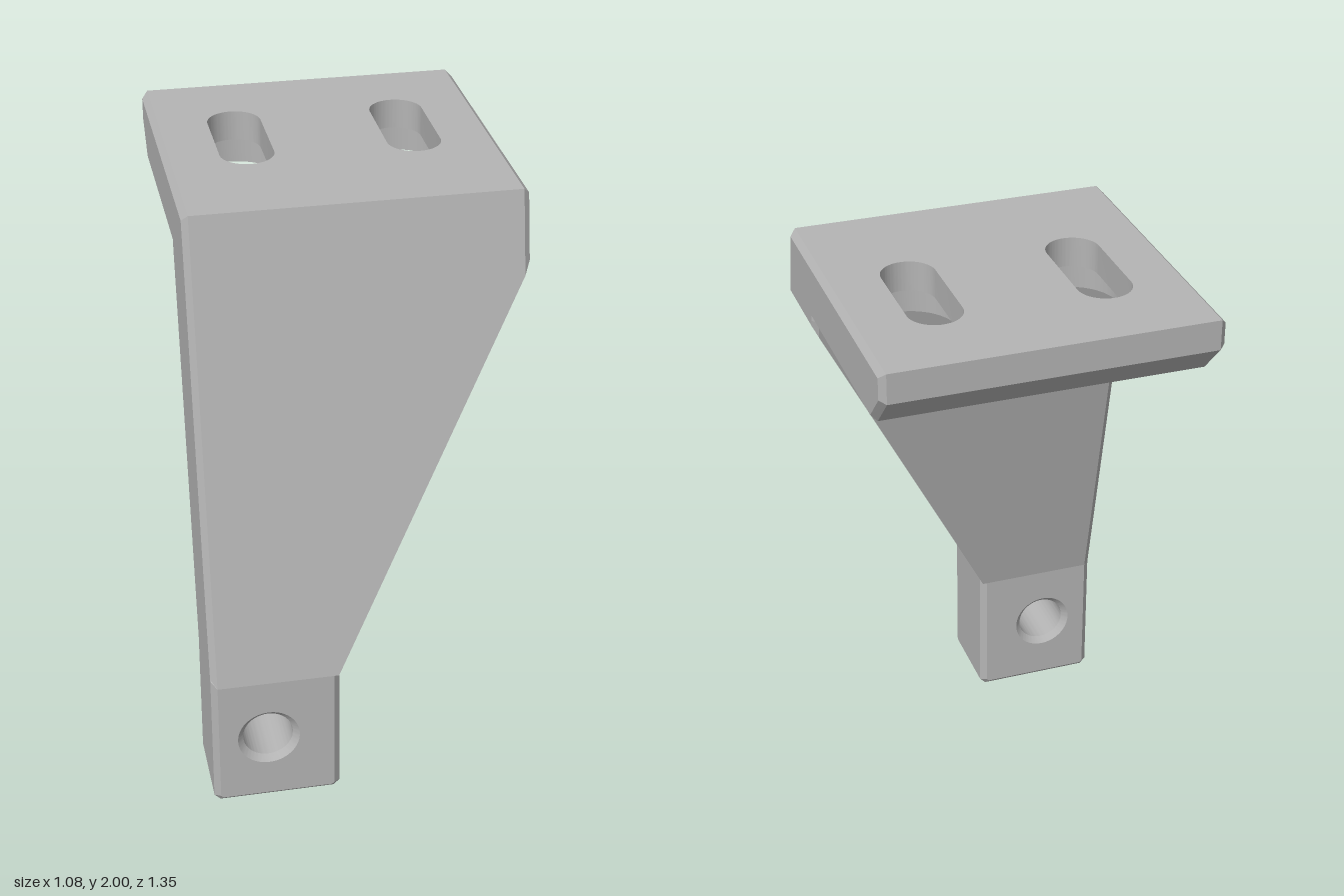
import * as THREE from 'three';
import { toCreasedNormals } from 'three/addons/utils/BufferGeometryUtils.js';
import { ConvexGeometry } from 'three/addons/geometries/ConvexGeometry.js';

const C = 0.02; // edge chamfer
const W = 0.54; // half width

export function createModel() {
  const group = new THREE.Group();
  const metal = new THREE.MeshStandardMaterial({ color: 0xb4b4b4 });
  metal.name = 'grey metal';

  const add = (name, geometry) => {
    const mesh = new THREE.Mesh(geometry, metal);
    mesh.name = name;
    group.add(mesh);
  };
  const hull = (pts) => new ConvexGeometry(pts.map((p) => new THREE.Vector3(...p)));
  const smooth = (geometry) => toCreasedNormals(geometry, 0.5);

  // Foot: chamfered block with a chamfered bolt hole running front to back
  const l = -W, r = -0.115, top = 0.49;
  const footShape = new THREE.Shape([
    [l + C, 0], [r - C, 0], [r, C], [r, top], [l, top], [l, C],
  ].map((p) => new THREE.Vector2(...p)));
  footShape.holes.push(new THREE.Path().absarc(-0.355, 0.25, 0.083, 0, Math.PI * 2, true));
  const foot = new THREE.ExtrudeGeometry(footShape, {
    depth: 0.315 - 2 * C, bevelThickness: C, bevelSize: C, bevelOffset: -C,
    bevelSegments: 1, curveSegments: 40,
  });
  foot.translate(0, 0, 0.36 + C);
  add('foot', smooth(foot));

  // Leg: leans back while widening to the full plate width
  const zFront = (y) => 0.675 - (y - 0.47) * 0.206;
  const zBack = (y) => Math.max(0.09, 0.36 - (y - 0.47) * 0.2045);
  const legPoints = [];
  const section = (y, left, right, chamferRight) => {
    const f = zFront(y), b = zBack(y);
    legPoints.push([-W + C, y, f], [-W + C, y, b]);
    if (left < -W + C) legPoints.push([left, y, f - C], [left, y, b + C]);
    if (chamferRight) legPoints.push([right - C, y, f], [right - C, y, b], [right, y, f - C], [right, y, b + C]);
    else legPoints.push([right, y, f], [right, y, b]);
  };
  section(0.47, -W, -0.12, false);
  section(1.73, -W, W - C, false);
  section(1.77, -W, W, true);
  section(1.79, -W, W, true);
  section(2 - C, -W, W, true);
  section(2, -W + C, W - C, false);
  add('leg', hull(legPoints));

  // Mounting plate: two layers, narrow slots above wider recesses
  const layer = (name, y0, y1, zEnd, radius) => {
    const w = W - C;
    const shape = new THREE.Shape([
      [-w, -0.09], [w, -0.09], [w, -zEnd], [-w, -zEnd],
    ].map((p) => new THREE.Vector2(...p)));
    for (const x of [-0.272, 0.272]) {
      const slot = new THREE.Path();
      slot.absarc(x, 0.347, radius, 0, Math.PI, false);
      slot.absarc(x, 0.078, radius, Math.PI, Math.PI * 2, false);
      slot.closePath();
      shape.holes.push(slot);
    }
    const geometry = new THREE.ExtrudeGeometry(shape, { depth: y1 - y0, bevelEnabled: false, curveSegments: 24 });
    geometry.rotateX(-Math.PI / 2).translate(0, y0, 0);
    add(name, smooth(geometry));
  };
  layer('plateTop', 1.9, 2, -0.675, 0.088);
  layer('plateBottom', 1.79, 1.9, -0.57, 0.16);

  // Sloped underside at the back of the plate
  const wedge = [];
  for (const x of [-W + C, W - C]) wedge.push([x, 1.79, -0.57], [x, 1.9, -0.57], [x, 1.9, -0.675]);
  add('plateBackSlope', hull(wedge));

  // Chamfered side edges of the plate
  const outer = [[1.79, 0.15], [2, 0.15], [2, -0.675], [1.9, -0.675], [1.79, -0.57]];
  const inner = [[1.81, 0.15], [1.98, 0.15], [1.98, -0.655], [1.908, -0.655], [1.81, -0.562]];
  for (const s of [-1, 1]) {
    add(s > 0 ? 'plateLeftEdge' : 'plateRightEdge', hull([
      ...outer.map(([y, z]) => [s * (W - C), y, z]),
      ...inner.map(([y, z]) => [s * W, y, z]),
    ]));
  }
  return group;
}
